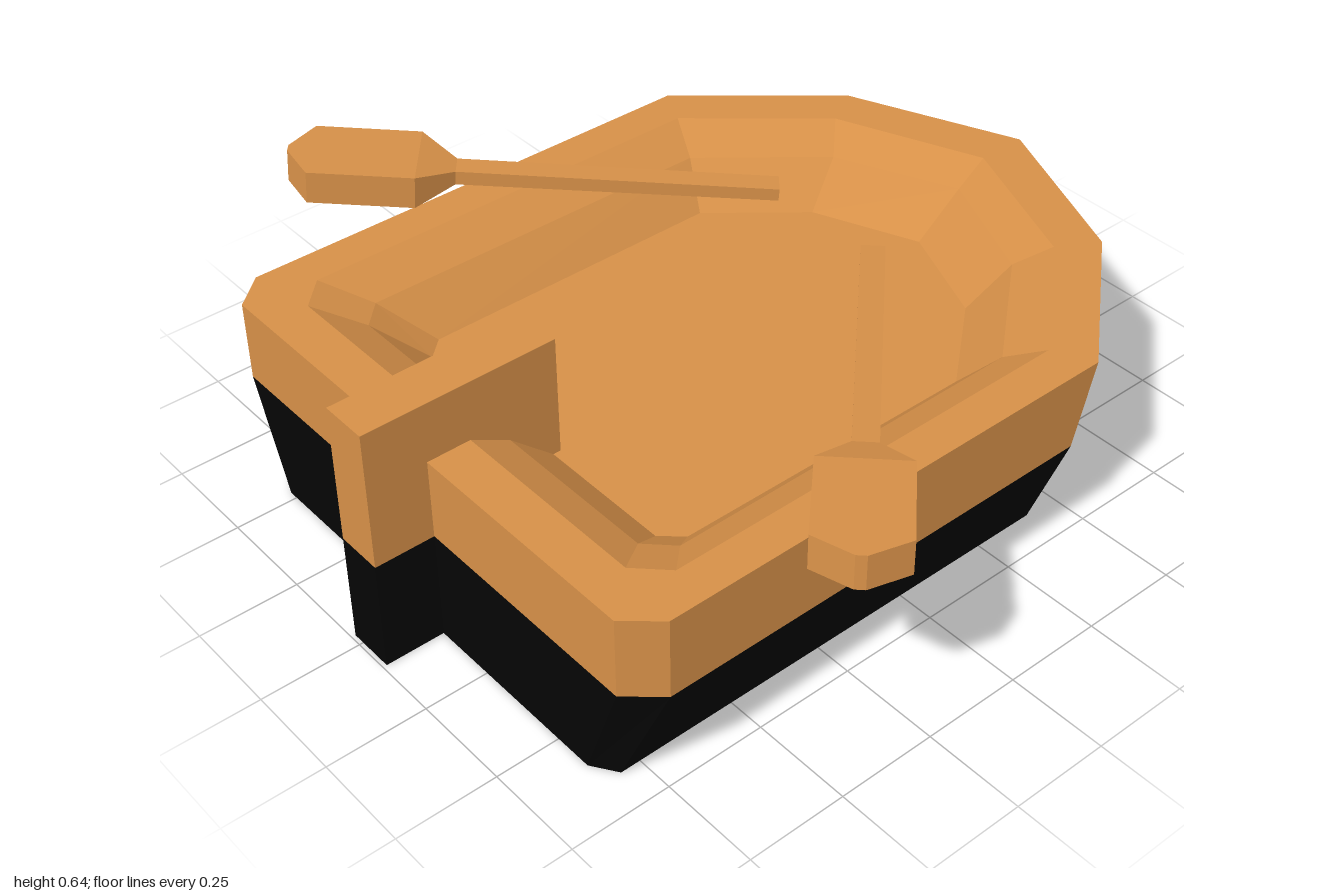
import * as THREE from 'three';

const wood = new THREE.MeshStandardMaterial({ color: 0xd69048, flatShading: true, side: THREE.DoubleSide });
wood.name = 'wood';
const blackPaint = new THREE.MeshStandardMaterial({ color: 0x050505, flatShading: true, side: THREE.DoubleSide });
blackPaint.name = 'black paint';

const MID_Z = 0.037;

// Half outline [x, half width] from stern to bow -> closed ring at height y
function ring(y, half) {
  const left = half.map(([x, w]) => [x, y, MID_Z + w]);
  const right = half.slice(0, -1).reverse().map(([x, w]) => [x, y, MID_Z - w]);
  return [...left, ...right];
}

// Faceted skin through rings of equal length, with optional flat end caps
function loft(rings, { startCap = false, endCap = false } = {}) {
  const pos = [];
  const tri = (a, b, c) => pos.push(...a, ...b, ...c);
  for (let r = 0; r < rings.length - 1; r++) {
    const a = rings[r], b = rings[r + 1], n = a.length;
    for (let i = 0; i < n; i++) {
      const j = (i + 1) % n;
      tri(a[i], a[j], b[j]);
      tri(a[i], b[j], b[i]);
    }
  }
  const first = rings[0], last = rings[rings.length - 1];
  for (let i = 1; i < first.length - 1; i++) {
    if (startCap) tri(first[0], first[i + 1], first[i]);
    if (endCap) tri(last[0], last[i], last[i + 1]);
  }
  const geo = new THREE.BufferGeometry();
  geo.setAttribute('position', new THREE.Float32BufferAttribute(pos, 3));
  geo.computeVertexNormals();
  return geo;
}

function addMesh(parent, name, geo, mat) {
  const mesh = new THREE.Mesh(geo, mat);
  mesh.name = name;
  parent.add(mesh);
  return mesh;
}

// Oar lying along local x, with its neck at the origin and the blade toward -x
function makeOar(name, neck, end) {
  const sections = [ // position along oar, half width, half thickness
    [Math.hypot(end[0] - neck[0], end[1] - neck[1]), 0.029, 0.016],
    [0, 0.029, 0.018],
    [-0.09, 0.103, 0.042],
    [-0.345, 0.103, 0.042],
    [-0.4, 0.012, 0.042],
  ];
  const rings = sections.map(([s, w, h]) => [[s, h, w], [s, h, -w], [s, -h, -w], [s, -h, w]]);
  const oar = new THREE.Group();
  oar.name = name;
  addMesh(oar, 'handle', loft(rings.slice(0, 2), { startCap: true }), wood);
  addMesh(oar, 'blade', loft(rings.slice(1), { endCap: true }), wood);
  oar.position.set(neck[0], 0.535, neck[1]);
  oar.rotation.order = 'YZX';
  oar.rotation.y = Math.atan2(neck[1] - end[1], end[0] - neck[0]);
  oar.rotation.z = -0.07;
  return oar;
}

export function createModel() {
  const boat = new THREE.Group();
  boat.name = 'rowing boat';

  // Hull, open underneath
  const bottom = ring(0, [[-0.84, 0.56], [-0.8, 0.62], [0.41, 0.62], [0.71, 0.36], [0.85, 0]]);
  const band = ring(0.285, [[-0.84, 0.665], [-0.76, 0.735], [0.4, 0.73], [0.76, 0.43], [0.94, 0]]);
  const rimOuter = ring(0.49, [[-0.84, 0.665], [-0.76, 0.735], [0.46, 0.73], [0.81, 0.43], [0.99, 0]]);
  const rimInner = ring(0.49, [[-0.73, 0.565], [-0.66, 0.635], [0.41, 0.63], [0.71, 0.37], [0.86, 0]]);
  const step = ring(0.435, [[-0.63, 0.48], [-0.57, 0.54], [0.37, 0.535], [0.645, 0.305], [0.78, 0]]);
  const floor = ring(0.335, [[-0.52, 0.4], [-0.47, 0.445], [0.325, 0.445], [0.54, 0.265], [0.65, 0]]);

  addMesh(boat, 'lower hull', loft([bottom, band]), blackPaint);
  addMesh(boat, 'upper hull', loft([band, rimOuter]), wood);
  addMesh(boat, 'rim', loft([rimOuter, rimInner]), wood);
  addMesh(boat, 'inner walls and floor', loft([rimInner, step, floor], { endCap: true }), wood);

  // Rudder: wooden board with a painted foot that rises under the floor
  const board = addMesh(boat, 'rudder board', new THREE.BoxGeometry(0.49, 0.355, 0.12), wood);
  board.position.set(-0.745, 0.4625, 0.03);
  const foot = new THREE.Shape([[-0.99, 0], [-0.84, 0], [-0.5, 0.285], [-0.99, 0.285]]
    .map(([x, y]) => new THREE.Vector2(x, y)));
  const footMesh = addMesh(boat, 'rudder foot',
    new THREE.ExtrudeGeometry(foot, { depth: 0.12, bevelEnabled: false }), blackPaint);
  footMesh.position.z = -0.03;

  // Oars resting on the rim
  boat.add(makeOar('left oar', [-0.165, 0.685], [0.39, 0.135]));
  boat.add(makeOar('right oar', [-0.193, -0.7], [0.4, -0.2]));
  return boat;
}
